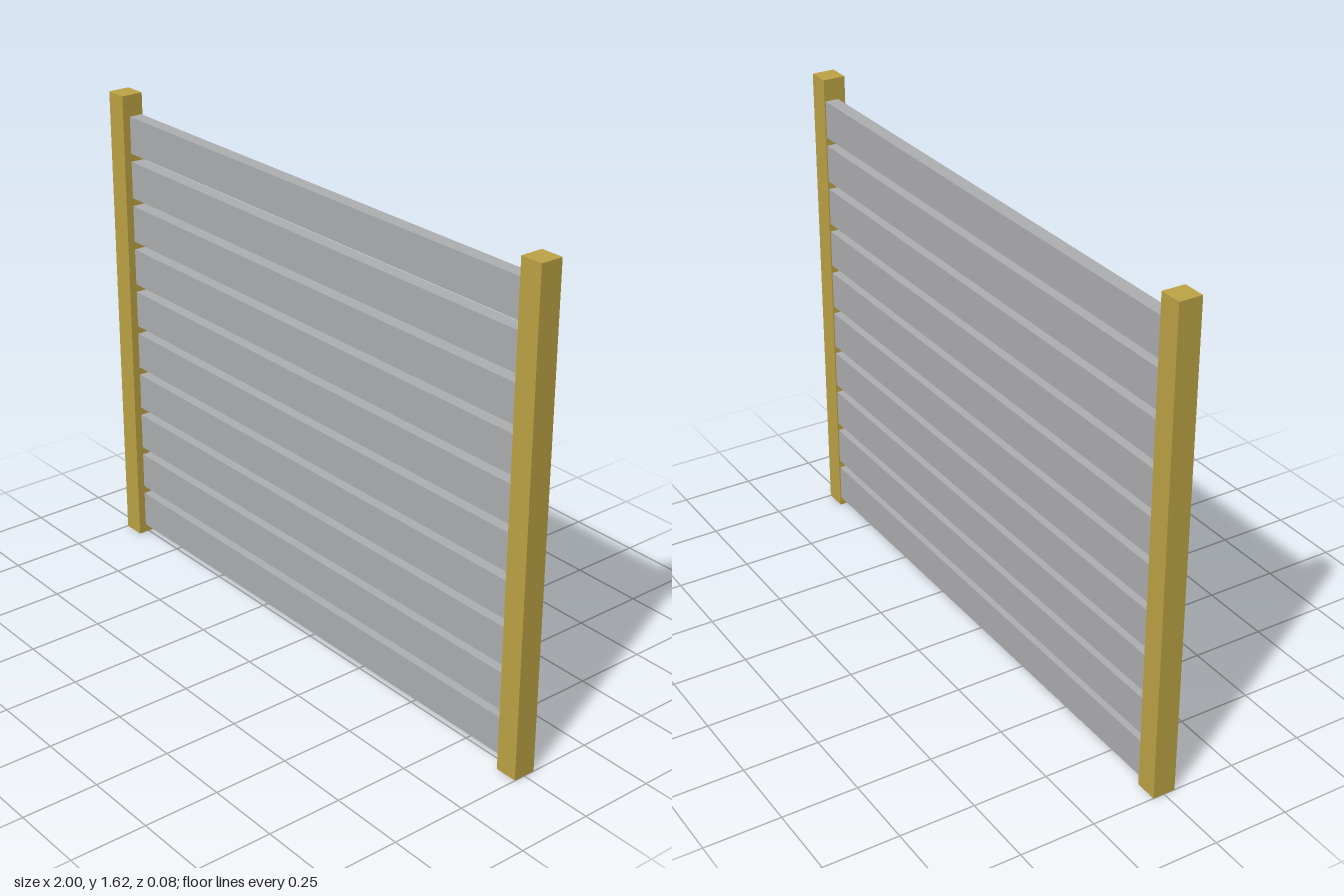
import * as THREE from 'three';

const HEIGHT = 1.615, POST = 0.076;
const SLATS = 10, SLAT_HEIGHT = 0.126, PITCH = 0.154, FIRST_Y = 0.03;
const SLAT_DEPTH = 0.046, SLAT_Z = -0.011;

export function createModel() {
  const model = new THREE.Group();
  model.name = 'slattedFence';
  const wood = new THREE.MeshStandardMaterial({ color: 0xbfa546 });
  wood.name = 'ochre post';
  const grey = new THREE.MeshStandardMaterial({ color: 0xafb0b2 });
  grey.name = 'grey slat';

  const addBox = (name, size, position, material) => {
    const mesh = new THREE.Mesh(new THREE.BoxGeometry(...size), material);
    mesh.name = name;
    mesh.position.set(...position);
    model.add(mesh);
  };

  // Square posts at both ends
  for (const [name, side] of [['leftPost', 1], ['rightPost', -1]]) {
    addBox(name, [POST, HEIGHT, POST], [side * (1 - POST / 2), HEIGHT / 2, 0], wood);
  }

  // Evenly spaced horizontal slats, set towards the back of the posts
  const span = 2 - 2 * POST;
  for (let i = 0; i < SLATS; i++) {
    const y = FIRST_Y + SLAT_HEIGHT / 2 + i * PITCH;
    addBox(`slat${i + 1}`, [span, SLAT_HEIGHT, SLAT_DEPTH], [0, y, SLAT_Z], grey);
  }
  return model;
}
